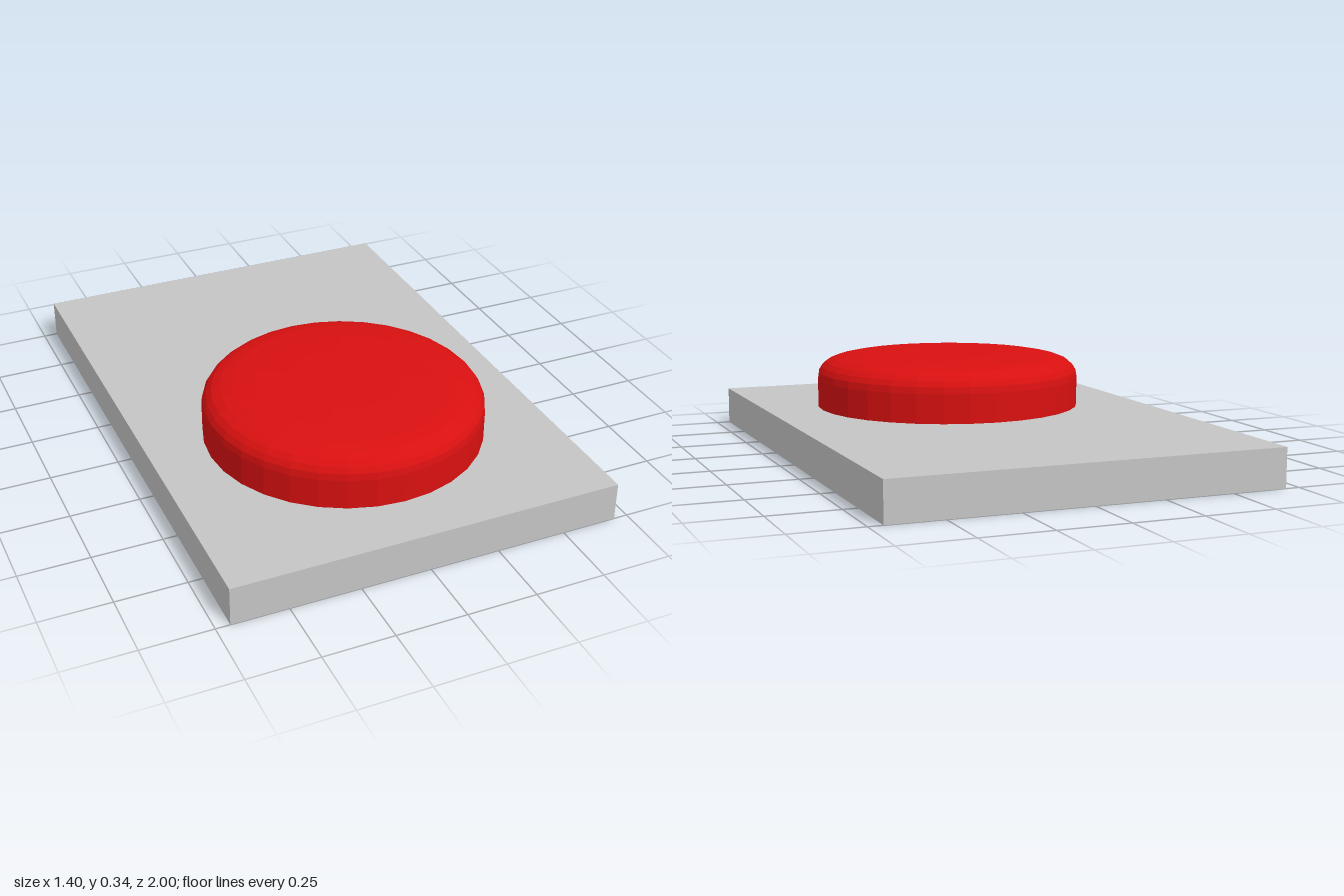
import * as THREE from 'three';

export function createModel() {
  const grey = new THREE.MeshStandardMaterial({ color: 0xc4c4c4 });
  grey.name = 'light grey';
  const red = new THREE.MeshStandardMaterial({ color: 0xd91010, flatShading: true });
  red.name = 'red';

  const model = new THREE.Group();
  model.name = 'pushButton';

  // Flat rectangular base plate
  const base = new THREE.Mesh(new THREE.BoxGeometry(1.4, 0.14, 2), grey);
  base.name = 'basePlate';
  base.position.y = 0.07;
  model.add(base);

  // Round button with a softened rim and a slightly domed top
  const profile = [
    [0, 0], [0.5, 0], [0.5, 0.108], [0.496, 0.132], [0.484, 0.152],
    [0.465, 0.169], [0.435, 0.181], [0.395, 0.189], [0.31, 0.196],
    [0.2, 0.2], [0, 0.202],
  ].map(([r, y]) => new THREE.Vector2(r, y));
  const button = new THREE.Mesh(new THREE.LatheGeometry(profile, 32), red);
  button.name = 'button';
  button.position.set(0, 0.14, 0.3);
  model.add(button);

  return model;
}
